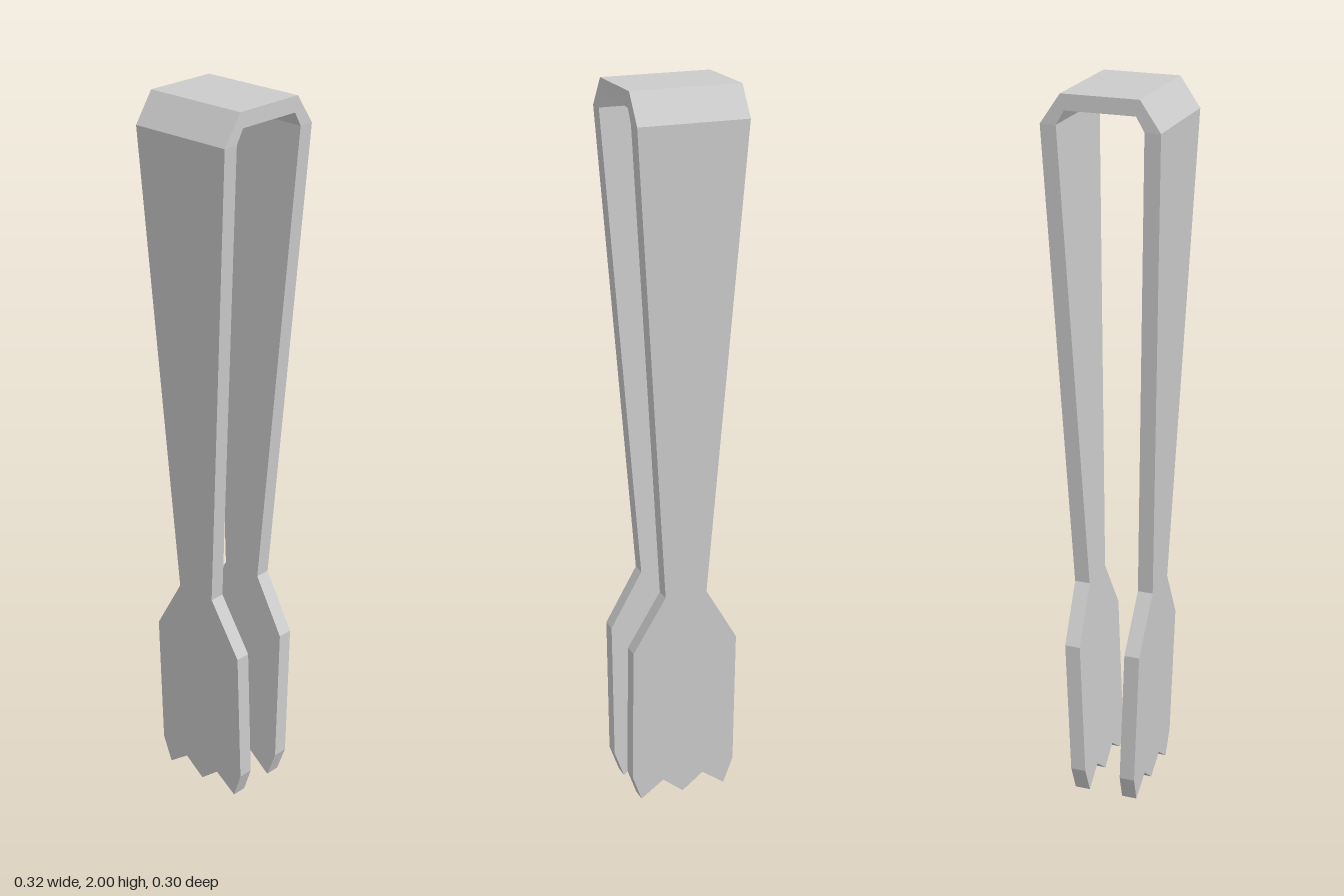
import * as THREE from 'three';

const HALF_DEPTH = 0.152; // half width of the strip along z
const BEND_Y = 1.92;      // height where the arms meet the bow

// Shape from the points of one half, mirrored across the vertical axis
function mirroredShape(half) {
  const other = half.filter(([x]) => x > 0).reverse().map(([x, y]) => [-x, y]);
  return new THREE.Shape([...half, ...other].map(([x, y]) => new THREE.Vector2(x, y)));
}

// One arm: tapering handle, narrow neck and toothed paddle, leaning inward to the tip
function armGeometry() {
  const shape = mirroredShape([
    [0, 0], [0.06, 0.048], [0.125, 0], [HALF_DEPTH, 0.075],
    [HALF_DEPTH, 0.465], [0.06, 0.62], [HALF_DEPTH, BEND_Y],
  ]);
  const geo = new THREE.ExtrudeGeometry(shape, { depth: 1, bevelEnabled: false });
  geo.rotateY(Math.PI / 2);
  const pos = geo.attributes.position;
  for (let i = 0; i < pos.count; i++) {
    const t = pos.getY(i) / BEND_Y;
    const inner = THREE.MathUtils.lerp(0.049, 0.117, t);
    const outer = THREE.MathUtils.lerp(0.092, 0.16, t);
    pos.setX(i, THREE.MathUtils.lerp(inner, outer, pos.getX(i)));
  }
  geo.computeVertexNormals();
  return geo;
}

// Chamfered bow joining the two arms
function bowGeometry() {
  const shape = mirroredShape([
    [0.095, 1.958], [0.117, BEND_Y], [0.16, BEND_Y], [0.105, 2],
  ]);
  const geo = new THREE.ExtrudeGeometry(shape, { depth: 2 * HALF_DEPTH, bevelEnabled: false });
  geo.translate(0, 0, -HALF_DEPTH);
  return geo;
}

export function createModel() {
  const tongs = new THREE.Group();
  tongs.name = 'tongs';
  const material = new THREE.MeshStandardMaterial({ color: 0xcccccc, flatShading: true });

  const arm = armGeometry();
  ['leftArm', 'rightArm'].forEach((name, i) => {
    const mesh = new THREE.Mesh(arm, material);
    mesh.name = name;
    mesh.rotation.y = i * Math.PI;
    tongs.add(mesh);
  });

  const bow = new THREE.Mesh(bowGeometry(), material);
  bow.name = 'bow';
  tongs.add(bow);
  return tongs;
}
